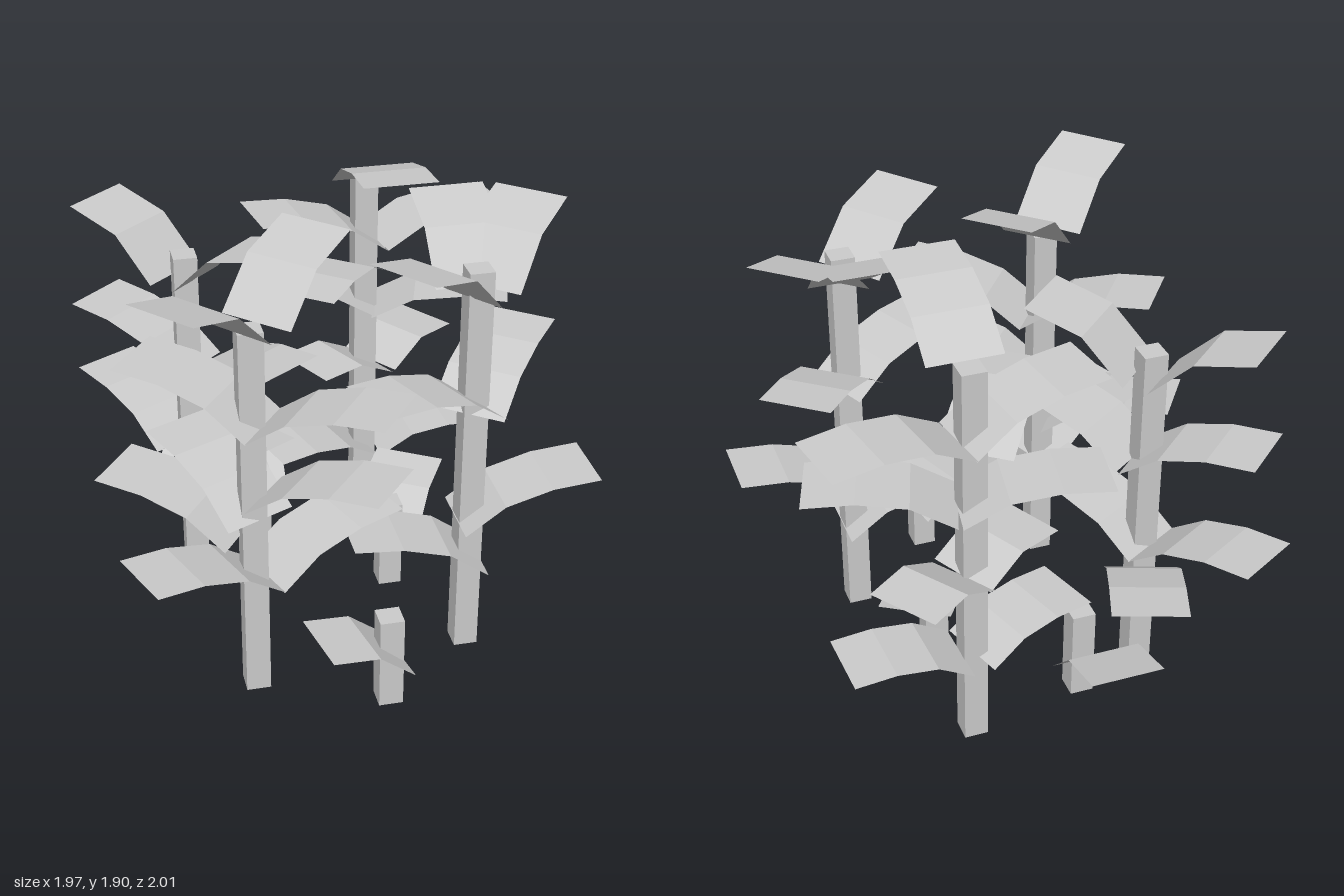
import * as THREE from 'three';

const material = new THREE.MeshStandardMaterial({ color: 0xcccccc, flatShading: true, side: THREE.DoubleSide });
const STALK = 0.098;
const LEAF_WIDTH = 0.3;

// Leaf kinds: segment length, slope of each segment in degrees, start distance from the stalk axis
const KINDS = {
  steep: { seg: 0.25, slopes: [45, 15], start: 0.053 },
  long: { seg: 0.2, slopes: [36, 16, 5], start: 0.048 },
  droopy: { seg: 0.2, slopes: [28, 7, -4], start: 0.048 },
  lowDroopy: { seg: 0.17, slopes: [30, 8, -3], start: 0.048 },
  smallDroopy: { seg: 0.2, slopes: [28, -2], start: 0.05 },
  small: { seg: 0.2, slopes: [40, 10], start: -0.045 },
};
// Shift for leaves that begin on the far side of their stalk
const BACK = -0.1;

// Each plant: position, stalk height and leaves as [kind, base height, direction x, direction z, shift]
const PLANTS = [
  { x: -0.52, z: -0.395, h: 1.51, leaves: [
    ['steep', 1.41, -0.66, -0.75], ['steep', 1.41, 0.69, 0.72],
    ['long', 1.01, -0.67, -0.74, BACK], ['long', 1.01, 0.57, 0.82],
    ['long', 0.61, -0.5, -0.87], ['long', 0.61, 0.5, 0.87, BACK],
    ['long', 0.51, 0.35, -0.94],
  ] },
  { x: -0.415, z: 0.5, h: 1.61, leaves: [
    ['steep', 1.61, -0.75, 0.66], ['steep', 1.61, 0.69, -0.72],
    ['long', 1.21, 0.8, 0.6], ['long', 1.21, -0.8, -0.6, BACK],
    ['long', 0.91, 0.77, 0.64], ['long', 0.81, -0.43, -0.9, BACK],
    ['long', 0.71, -0.81, -0.58],
    ['long', 0.51, -0.93, 0.36, BACK], ['long', 0.51, 0.935, -0.35],
  ] },
  { x: 0.28, z: -0.59, h: 1.71, leaves: [
    ['long', 1.71, 0, 1],
    ['droopy', 1.41, 0.983, -0.185], ['long', 1.41, -0.989, 0.148, BACK],
    ['droopy', 1.31, -0.61, 0.79],
    ['droopy', 1.11, 0.95, 0.31], ['droopy', 1.11, -0.985, -0.17, BACK],
    ['smallDroopy', 0.81, 0.82, -0.57], ['smallDroopy', 0.81, -0.8, 0.4, BACK],
    ['lowDroopy', 0.41, 1, -0.05], ['lowDroopy', 0.41, -0.95, 0.3, BACK / 2],
  ] },
  { x: 0.48, z: 0.4, h: 1.71, leaves: [
    ['steep', 1.61, 0.66, -0.75], ['steep', 1.61, -0.79, 0.61], ['steep', 1.61, 0, -1],
    ['long', 1.11, 0.62, -0.79, BACK], ['long', 1.11, -0.92, 0.39, BACK],
    ['long', 0.61, 1, 0, BACK], ['long', 0.41, -1, 0, BACK],
  ] },
  { x: 0.08, z: 0.71, h: 0.4, leaves: [['small', 0.2, -0.98, 0.2]] },
  { x: 0.28, z: -0.09, h: 0.4, leaves: [['small', 0.3, 0.53, -0.85]] },
  { x: -0.22, z: -0.49, h: 0.4, leaves: [['steep', 0.2, 0, -1, 0.02]] },
];

// Bent strip running along +x, its centre line built from sloped segments
function leafGeometry({ seg, slopes, start }) {
  const line = [[start, 0]];
  for (const deg of slopes) {
    const a = THREE.MathUtils.degToRad(deg);
    const [px, py] = line[line.length - 1];
    line.push([px + seg * Math.cos(a), py + seg * Math.sin(a)]);
  }
  const geo = new THREE.PlaneGeometry(1, 1, slopes.length, 1);
  const pos = geo.attributes.position;
  const n = line.length;
  for (let i = 0; i < pos.count; i++) {
    const [x, y] = line[i % n];
    pos.setXYZ(i, x, y, (i < n ? -0.5 : 0.5) * LEAF_WIDTH);
  }
  geo.computeVertexNormals();
  return geo;
}

// Square post without a bottom face
function stalkGeometry(h) {
  const geo = new THREE.BoxGeometry(STALK, h, STALK).translate(0, h / 2, 0);
  const index = Array.from(geo.index.array);
  index.splice(18, 6);
  geo.setIndex(index);
  return geo;
}

export function createModel() {
  const model = new THREE.Group();
  model.name = 'cropPatch';
  const leafGeometries = {};
  for (const kind in KINDS) leafGeometries[kind] = leafGeometry(KINDS[kind]);

  for (const { x, z, h, leaves } of PLANTS) {
    const plant = new THREE.Group();
    plant.name = h > 1 ? 'tallPlant' : 'seedling';
    plant.position.set(x, 0, z);

    const stalk = new THREE.Mesh(stalkGeometry(h), material);
    stalk.name = 'stalk';
    plant.add(stalk);

    for (const [kind, y, dx, dz, shift = 0] of leaves) {
      const leaf = new THREE.Mesh(leafGeometries[kind], material);
      leaf.name = 'leaf';
      leaf.position.y = y;
      leaf.rotation.y = Math.atan2(-dz, dx);
      leaf.translateX(shift);
      plant.add(leaf);
    }
    model.add(plant);
  }
  return model;
}
